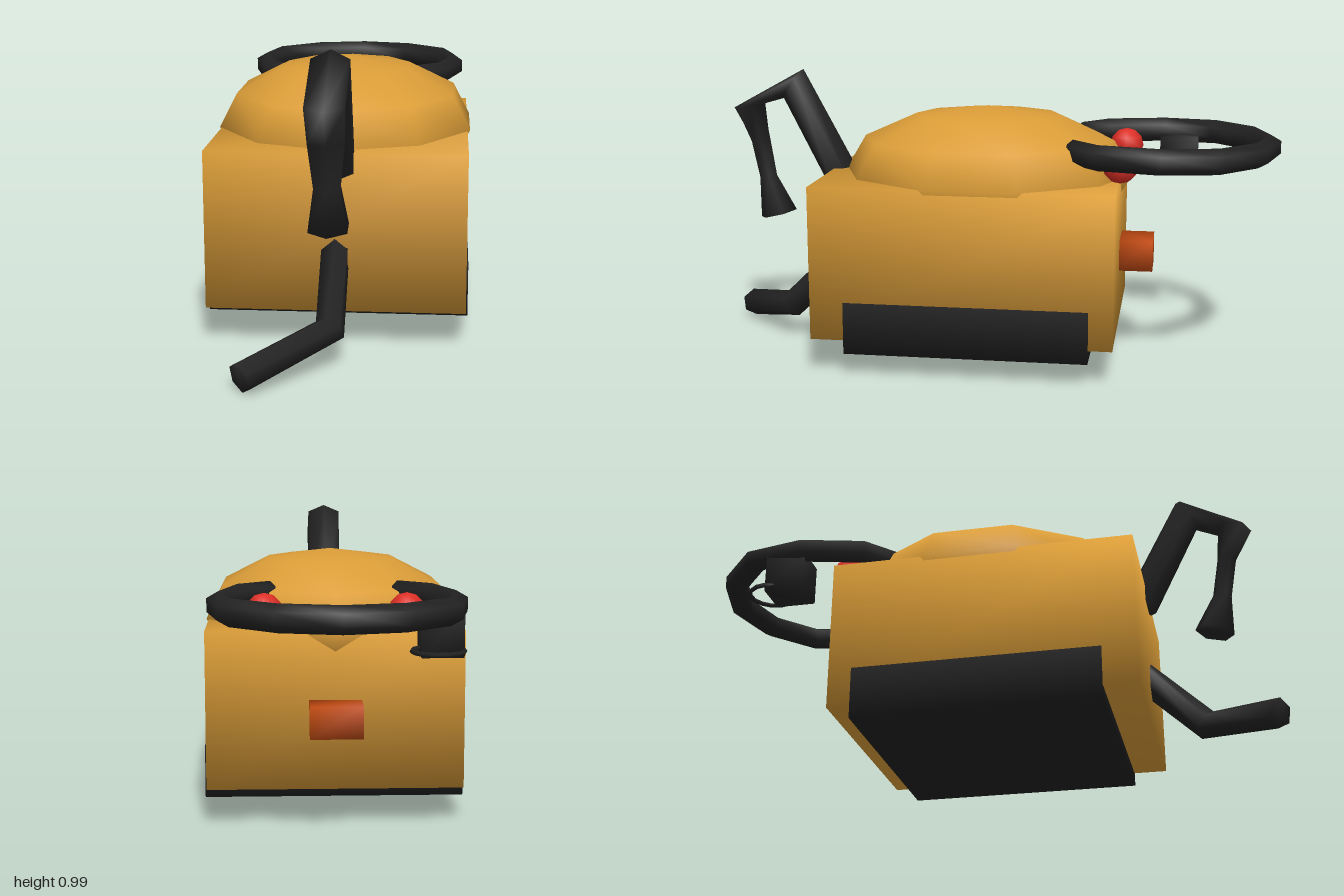
import * as THREE from 'three';
import { mergeVertices } from 'three/addons/utils/BufferGeometryUtils.js';

const V = (x, y, z) => new THREE.Vector3(x, y, z);

// Share corner vertices so shading runs smoothly over the edges
function smooth(geo) {
  geo.deleteAttribute('normal');
  geo.deleteAttribute('uv');
  const g = mergeVertices(geo, 1e-4);
  g.computeVertexNormals();
  return g;
}

// Capped six-sided skin over rings of { c: centre, a, b: half axes }
function loft(rings, n = 6) {
  const pos = [], idx = [];
  for (const { c, a, b } of rings)
    for (let j = 0; j < n; j++) {
      const t = (j / n) * Math.PI * 2;
      const p = c.clone().addScaledVector(a, Math.cos(t)).addScaledVector(b, Math.sin(t));
      pos.push(p.x, p.y, p.z);
    }
  const last = (rings.length - 1) * n;
  for (let i = 0; i < last; i += n)
    for (let j = 0; j < n; j++) {
      const k = (j + 1) % n;
      idx.push(i + j, i + k, i + n + k, i + j, i + n + k, i + n + j);
    }
  for (let j = 1; j < n - 1; j++) {
    idx.push(0, j + 1, j);
    idx.push(last, last + j, last + j + 1);
  }
  const g = new THREE.BufferGeometry();
  g.setAttribute('position', new THREE.Float32BufferAttribute(pos, 3));
  g.setIndex(idx);
  g.computeVertexNormals();
  return g;
}

// Hexagonal tube along a bent path
function tube(pts, r) {
  return loft(pts.map((c, i) => {
    const dir = (p, q) => q.clone().sub(p).normalize();
    const t = V(0, 0, 0);
    if (i > 0) t.add(dir(pts[i - 1], c));
    if (i < pts.length - 1) t.add(dir(c, pts[i + 1]));
    t.normalize();
    const b = t.clone().cross(V(0, 1, 0)).normalize();
    const a = b.clone().cross(t);
    return { c, a: a.multiplyScalar(r), b: b.multiplyScalar(r) };
  }));
}

// Box given by its lower and upper corners
function box(x0, x1, y0, y1, z0, z1) {
  const g = new THREE.BoxGeometry(x1 - x0, y1 - y0, z1 - z0);
  g.translate((x0 + x1) / 2, (y0 + y1) / 2, (z0 + z1) / 2);
  return smooth(g);
}

export function createModel() {
  const model = new THREE.Group();
  const mat = (name, color) => {
    const m = new THREE.MeshStandardMaterial({ color });
    m.name = name;
    return m;
  };
  const ochre = mat('ochre', 0xdb9d38);
  const black = mat('black', 0x222222);
  const red = mat('red', 0xdc2f26);
  const orange = mat('orange', 0xc04a10);
  const add = (name, geo, material) => {
    const m = new THREE.Mesh(geo, material);
    m.name = name;
    model.add(m);
    return m;
  };

  // Housing, base and domed lid
  add('body', box(-0.42, 0.42, 0.12, 0.64, -0.46, 0.555), ochre);
  add('base', box(-0.427, 0.427, 0.075, 0.25, -0.38, 0.44), black);
  const dome = new THREE.SphereGeometry(1, 10, 6);
  dome.rotateY(Math.PI / 2);
  dome.scale(0.45, 0.228, 0.51);
  dome.translate(0, 0.64, 0.01);
  add('domedLid', smooth(dome), ochre);

  // Rear block
  add('rearSocket', box(-0.085, 0.085, 0.31, 0.415, -0.575, -0.44), orange);

  // Looped push handle
  const half = [[0.21, -0.305], [0.315, -0.395], [0.367, -0.6], [0.33, -0.785], [0.185, -0.915]];
  const loop = [...half, [0, -0.962], ...half.map(([x, z]) => [-x, z]).reverse()];
  add('loopHandle', tube(loop.map(([x, z]) => V(x, 0.743, z)), 0.043), black);

  // Lights where the handle joins
  for (const s of [-1, 1]) {
    const g = new THREE.SphereGeometry(0.06, 8, 6);
    g.translate(s * 0.228, 0.705, -0.465);
    add(s > 0 ? 'leftLamp' : 'rightLamp', smooth(g), red);
  }

  // Trigger box with its ring guard
  add('triggerBox', box(-0.38, -0.25, 0.593, 0.73, -0.722, -0.585), black);
  const ring = new THREE.TorusGeometry(0.08, 0.008, 5, 14);
  ring.rotateX(Math.PI / 2);
  ring.translate(-0.3, 0.615, -0.722);
  add('triggerRing', ring, black);

  // Front spout: inner z,y, outer z,y and half width of each section
  const sections = [
    [0.585, 0.555, 0.49, 0.64, 0.06],
    [0.75, 0.88, 0.675, 0.985, 0.06],
    [0.82, 0.86, 0.935, 0.843, 0.06],
    [0.808, 0.73, 0.873, 0.73, 0.055],
    [0.785, 0.6, 0.848, 0.59, 0.04],
    [0.715, 0.475, 0.847, 0.445, 0.06],
  ];
  add('frontSpout', loft(sections.map(([zi, yi, zo, yo, w]) => ({
    c: V(0, (yi + yo) / 2, (zi + zo) / 2),
    a: V(0, (yi - yo) / 2, (zi - zo) / 2),
    b: V(w / 0.866, 0, 0),
  }))), black);

  // Bent hose low on the front
  add('frontHose', tube([V(0, 0.345, 0.5), V(0, 0.122, 0.735), V(-0.248, 0.048, 0.968)], 0.05), black);

  return model;
}
